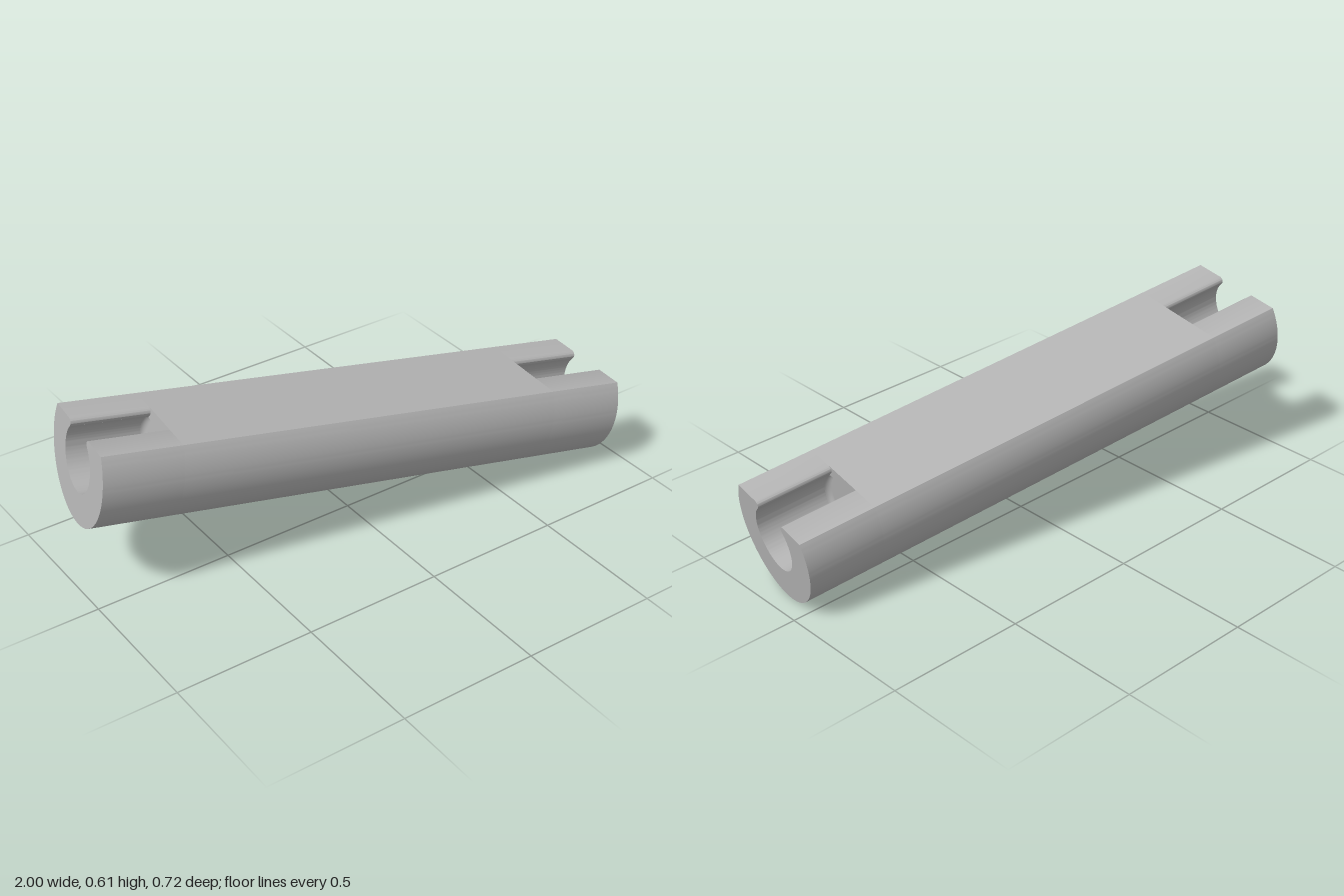
import * as THREE from 'three';
import { toCreasedNormals } from 'three/addons/utils/BufferGeometryUtils.js';

const R = 0.2243;      // rod radius
const H = 0.107;       // height of the flat above the axis
const L = 1.953;       // rod length
const BORE = 0.1125;   // socket radius
const DEPTH = 0.275;   // socket depth
const FILLET = 0.018;  // rounding at the socket floor
const MOUTH = Math.atan2(0.076, 0.083); // angle where the bore meets the slot lips

// Outer arc from the right edge of the flat, under the rod, to the left edge
function outerArc() {
  const a = Math.asin(H / R);
  const s = new THREE.Shape();
  s.absarc(0, 0, R, a, Math.PI - a, true);
  return s;
}

function extrude(shape, depth) {
  const g = new THREE.ExtrudeGeometry(shape, { depth, bevelEnabled: false, curveSegments: 48 });
  return toCreasedNormals(g, 0.5);
}

export function createModel() {
  const gray = new THREE.MeshStandardMaterial({ color: 0xb4b4b4, side: THREE.DoubleSide });
  gray.name = 'gray';

  const add = (parent, name, geometry) => {
    const mesh = new THREE.Mesh(geometry, gray);
    mesh.name = name;
    parent.add(mesh);
    return mesh;
  };

  const rod = new THREE.Group();
  rod.name = 'rod';

  // Solid middle with a flat top
  const mid = L - 2 * DEPTH;
  add(rod, 'rodBody', extrude(outerArc(), mid)).position.z = -mid / 2;

  // Open section with a round bore and rounded slot lips
  const open = outerArc();
  open.lineTo(-0.085, H);
  open.quadraticCurveTo(-0.062, 0.096, -0.083, 0.076);
  open.absarc(0, 0, BORE, Math.PI - MOUTH, MOUTH, false);
  open.quadraticCurveTo(0.062, 0.096, 0.085, H);
  open.closePath();
  const socketGeometry = extrude(open, DEPTH);

  // Concave rounding between bore and socket floor
  const profile = [];
  for (let i = 0; i <= 8; i++) {
    const t = (i / 8) * Math.PI / 2;
    profile.push(new THREE.Vector2(BORE - FILLET + FILLET * Math.sin(t), FILLET - FILLET * Math.cos(t)));
  }
  const half = Math.PI / 2 + MOUTH;
  const filletGeometry = new THREE.LatheGeometry(profile, 48, -half, 2 * half).rotateX(Math.PI / 2);

  // A slotted socket at each end
  for (const [name, turn] of [['leftSocket', 0], ['rightSocket', Math.PI]]) {
    const end = new THREE.Group();
    end.name = name;
    const wall = add(end, 'socketWall', socketGeometry);
    const fillet = add(end, 'socketFloorFillet', filletGeometry);
    wall.position.z = fillet.position.z = mid / 2;
    end.rotation.y = turn;
    rod.add(end);
  }

  // Tilt the rod: local z along its axis, local y out of the flat
  const axis = new THREE.Vector3(0.9796, -0.1408, 0.1429).normalize();
  const side = new THREE.Vector3(0.1347, -0.0605, -0.989).normalize();
  const up = new THREE.Vector3().crossVectors(axis, side).normalize();
  side.crossVectors(up, axis);
  rod.quaternion.setFromRotationMatrix(new THREE.Matrix4().makeBasis(side, up, axis));
  rod.position.set(0.001, 0.3595, 0);

  const model = new THREE.Group();
  model.name = 'slottedRod';
  model.add(rod);
  return model;
}
